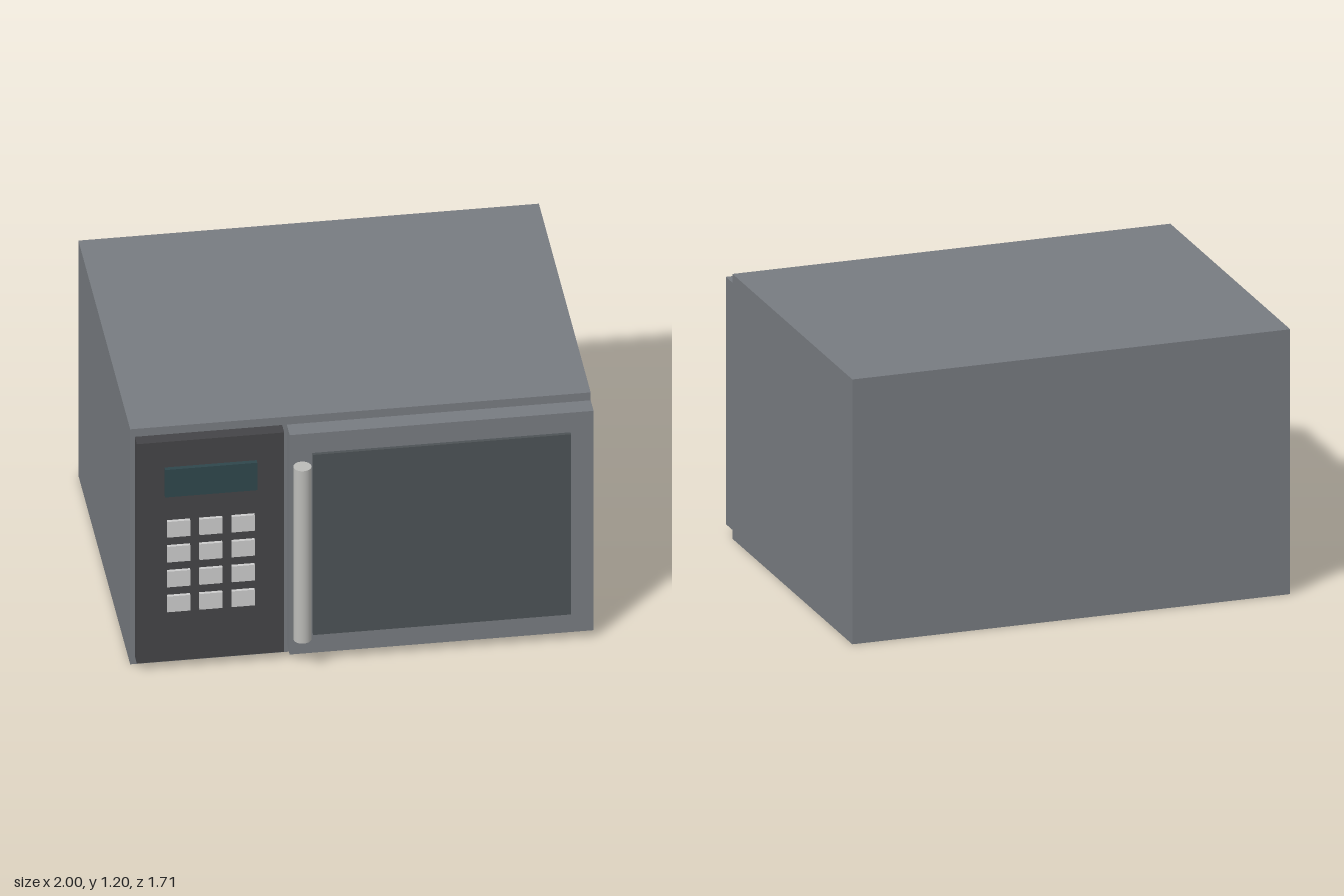
import * as THREE from 'three';

const material = (color) => new THREE.MeshStandardMaterial({ color });

// Box given by its extents along each axis
function box(name, [x0, x1], [y0, y1], [z0, z1], mat) {
  const mesh = new THREE.Mesh(new THREE.BoxGeometry(x1 - x0, y1 - y0, z1 - z0), mat);
  mesh.position.set((x0 + x1) / 2, (y0 + y1) / 2, (z0 + z1) / 2);
  mesh.name = name;
  return mesh;
}

export function createModel() {
  const model = new THREE.Group();
  model.name = 'microwaveOven';

  const shell = material(0x777b80);
  const dark = material(0x444447);
  const front = 0.662;
  const panelFront = 0.722;

  // Casing, door and window
  model.add(
    box('casing', [-1, 1], [0, 1.2], [-0.855, front], shell),
    box('door', [-0.32, 1], [0.04, 1.16], [front, 0.747], shell),
    box('window', [-0.22, 0.9], [0.14, 1.06], [0.737, 0.763], material(0x4c5255))
  );

  // Control panel with display
  model.add(
    box('controlPanel', [-0.98, -0.34], [0.04, 1.16], [front, panelFront], dark),
    box('display', [-0.86, -0.46], [0.89, 1.03], [panelFront - 0.01, 0.743], material(0x2f464b))
  );

  // Keypad: four rows of three buttons
  const keypad = new THREE.Group();
  keypad.name = 'keypad';
  const buttonMat = material(0xcccccc);
  for (let row = 0; row < 4; row++) {
    for (let col = 0; col < 3; col++) {
      const x = -0.8 + col * 0.14;
      const y = 0.72 - row * 0.127;
      keypad.add(box('button', [x - 0.05, x + 0.05], [y - 0.04, y + 0.04], [panelFront - 0.01, 0.737], buttonMat));
    }
  }
  model.add(keypad);

  // Upright bar handle
  const handle = new THREE.Mesh(new THREE.CylinderGeometry(0.039, 0.039, 0.88, 32), material(0xbbbbb8));
  handle.position.set(-0.275, 0.6, 0.816);
  handle.name = 'handle';
  model.add(handle);

  return model;
}
